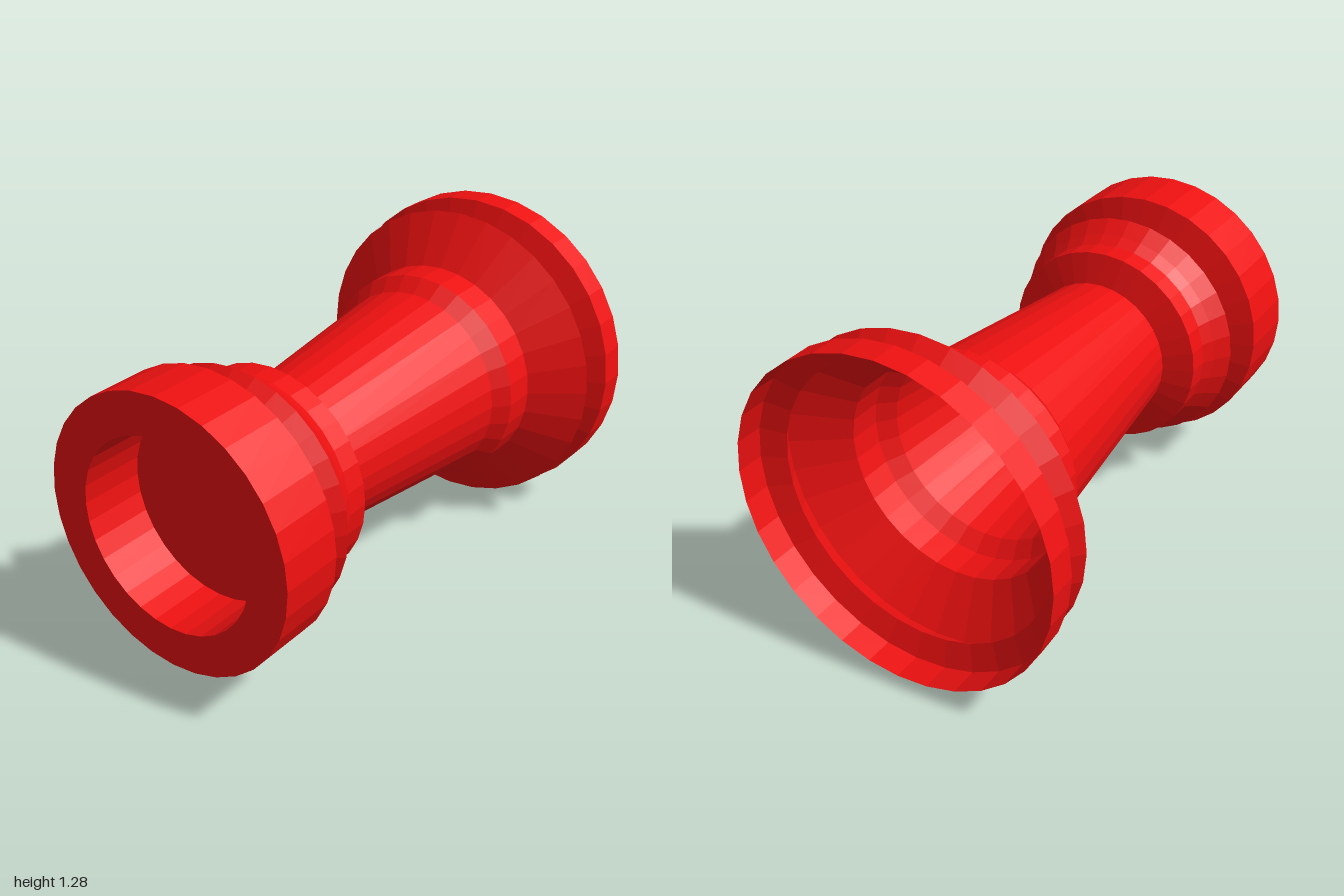
import * as THREE from 'three';

const SIDES = 32;
const AXIS_HEIGHT = 0.64;

// Each part is a profile of [radius, z] pairs turned about the z axis, back to front
const PARTS = {
  flaredBell: [[0.64, -1], [0.64, -0.89], [0.55, -0.85], [0.62, -0.765], [0.43, -0.63]],
  rearCollar: [[0.43, -0.63], [0.43, -0.5], [0.38, -0.44]],
  taperedBarrel: [[0.38, -0.44], [0.29, 0.395]],
  frontCollar: [[0.29, 0.395], [0.405, 0.435], [0.405, 0.52], [0.43, 0.565], [0.475, 0.625], [0.405, 0.71], [0.52, 0.75]],
  // Outer wall, front rim, recess wall and recess floor
  frontCup: [[0.52, 0.75], [0.52, 1], [0.365, 1], [0.365, 0.75], [0, 0.75]],
};

export function createModel() {
  const model = new THREE.Group();
  model.name = 'flaredTube';

  // Thin walls, visible from inside through the open bell
  const material = new THREE.MeshStandardMaterial({
    color: 0xee1010,
    flatShading: true,
    side: THREE.DoubleSide,
  });

  for (const [name, profile] of Object.entries(PARTS)) {
    const points = profile.map(([r, z]) => new THREE.Vector2(r, z));
    const geometry = new THREE.LatheGeometry(points, SIDES);
    geometry.rotateX(Math.PI / 2);
    geometry.translate(0, AXIS_HEIGHT, 0);
    const mesh = new THREE.Mesh(geometry, material);
    mesh.name = name;
    model.add(mesh);
  }
  return model;
}
